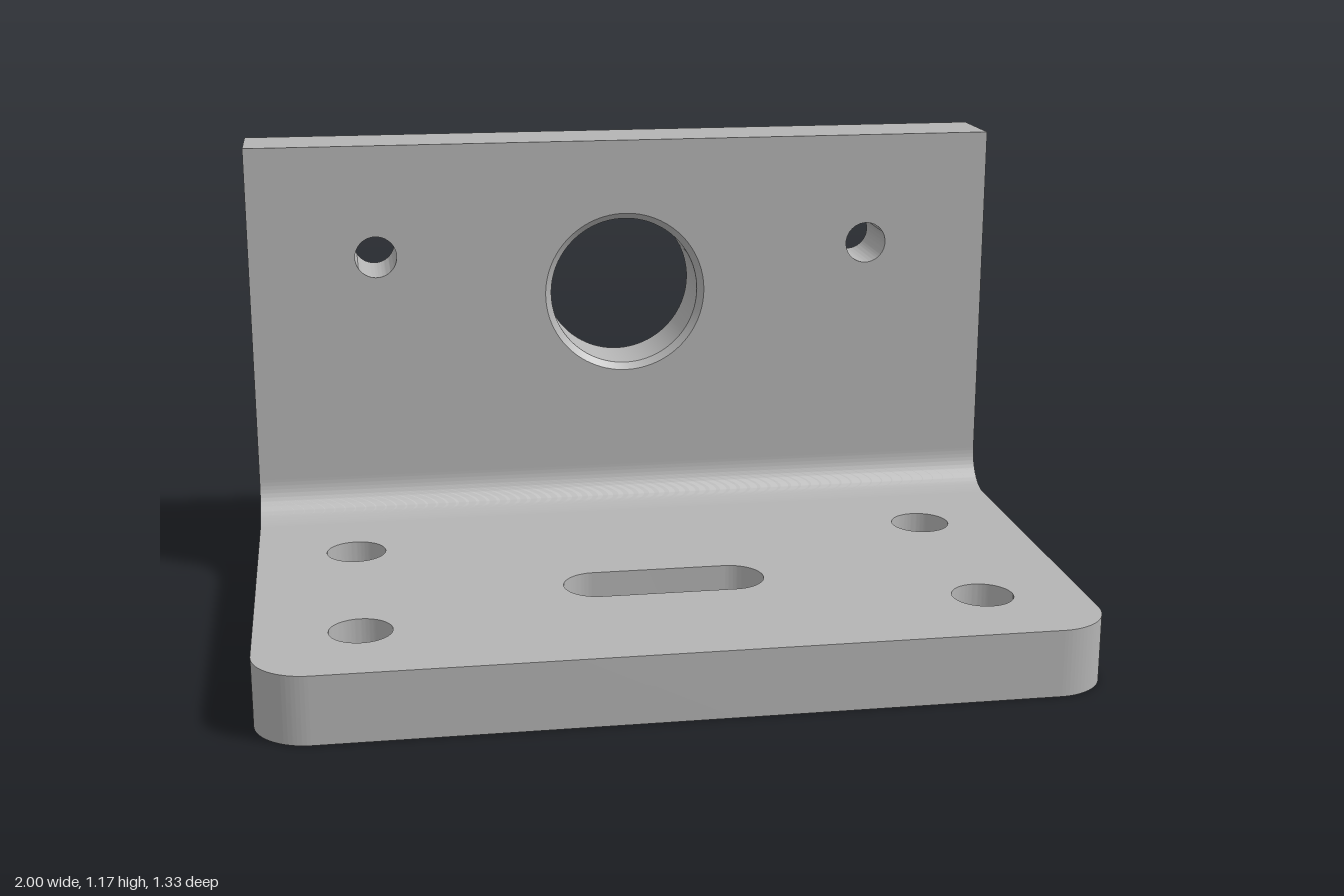
import * as THREE from 'three';
import { toCreasedNormals } from 'three/addons/utils/BufferGeometryUtils.js';

const W = 2, D = 4 / 3, H = 7 / 6;      // overall size
const BASE = 1 / 6, WALL = 0.2;         // plate thicknesses
const FILLET = 0.1, CORNER = 0.133;
const BACK = -D / 2, FACE = BACK + WALL; // back and front of the upright
const BORE_Y = 0.753, BORE_R = 0.2, CHAMFER = 0.0167;

function circle(x, y, r) {
  return new THREE.Path().absarc(x, y, r, 0, Math.PI * 2, true);
}

function extrude(shape, depth) {
  return new THREE.ExtrudeGeometry(shape, { depth, bevelEnabled: false, curveSegments: 48 });
}

export function createModel() {
  const group = new THREE.Group();
  const metal = new THREE.MeshStandardMaterial({ color: 0xb4b4b4 });
  metal.name = 'greyMetal';

  function add(name, geometry) {
    const mesh = new THREE.Mesh(toCreasedNormals(geometry, 0.5), metal);
    mesh.name = name;
    group.add(mesh);
  }

  // Base plate, drawn in plan (shape y = -z), with two rounded front corners
  const x = W / 2, z = D / 2, c = CORNER;
  const plan = new THREE.Shape();
  plan.moveTo(-x, z);
  plan.lineTo(-x, -z + c);
  plan.absarc(-x + c, -z + c, c, Math.PI, Math.PI * 1.5, false);
  plan.lineTo(x - c, -z);
  plan.absarc(x - c, -z + c, c, -Math.PI / 2, 0, false);
  plan.lineTo(x, z);
  plan.closePath();
  for (const hx of [-0.75, 0.75]) {
    for (const hz of [-0.135, 0.415]) plan.holes.push(circle(hx, -hz, 0.075));
  }
  // Centre slot
  const slotR = 0.0835, slotX = 0.25 - slotR, slotZ = 0.198;
  const slot = new THREE.Path();
  slot.absarc(slotX, -slotZ, slotR, -Math.PI / 2, Math.PI / 2, false);
  slot.absarc(-slotX, -slotZ, slotR, Math.PI / 2, Math.PI * 1.5, false);
  slot.closePath();
  plan.holes.push(slot);
  add('basePlate', extrude(plan, BASE).rotateX(-Math.PI / 2));

  // Upright plate with two bolt holes and the bore opening
  const front = new THREE.Shape();
  front.moveTo(-x, BASE);
  front.lineTo(x, BASE);
  front.lineTo(x, H);
  front.lineTo(-x, H);
  front.closePath();
  for (const hx of [-0.667, 0.667]) front.holes.push(circle(hx, 0.87, 0.055));
  front.holes.push(circle(0, BORE_Y, BORE_R + CHAMFER));
  add('uprightPlate', extrude(front, WALL).translate(0, 0, BACK));

  // Bore surface with a chamfer at both ends, facing inward
  const h = WALL / 2;
  const profile = [
    [BORE_R + CHAMFER, h],
    [BORE_R, h - CHAMFER],
    [BORE_R, -h + CHAMFER],
    [BORE_R + CHAMFER, -h],
  ].map(([r, y]) => new THREE.Vector2(r, y));
  add('chamferedBore', new THREE.LatheGeometry(profile, 96)
    .rotateX(Math.PI / 2).translate(0, BORE_Y, BACK + h));

  // Concave fillet in the inner corner, drawn from the side and run along x
  const side = new THREE.Shape();
  side.moveTo(FACE, BASE);
  side.lineTo(FACE + FILLET, BASE);
  side.absarc(FACE + FILLET, BASE + FILLET, FILLET, Math.PI * 1.5, Math.PI, true);
  side.closePath();
  add('cornerFillet', extrude(side, W).rotateY(-Math.PI / 2).translate(x, 0, 0));

  return group;
}
